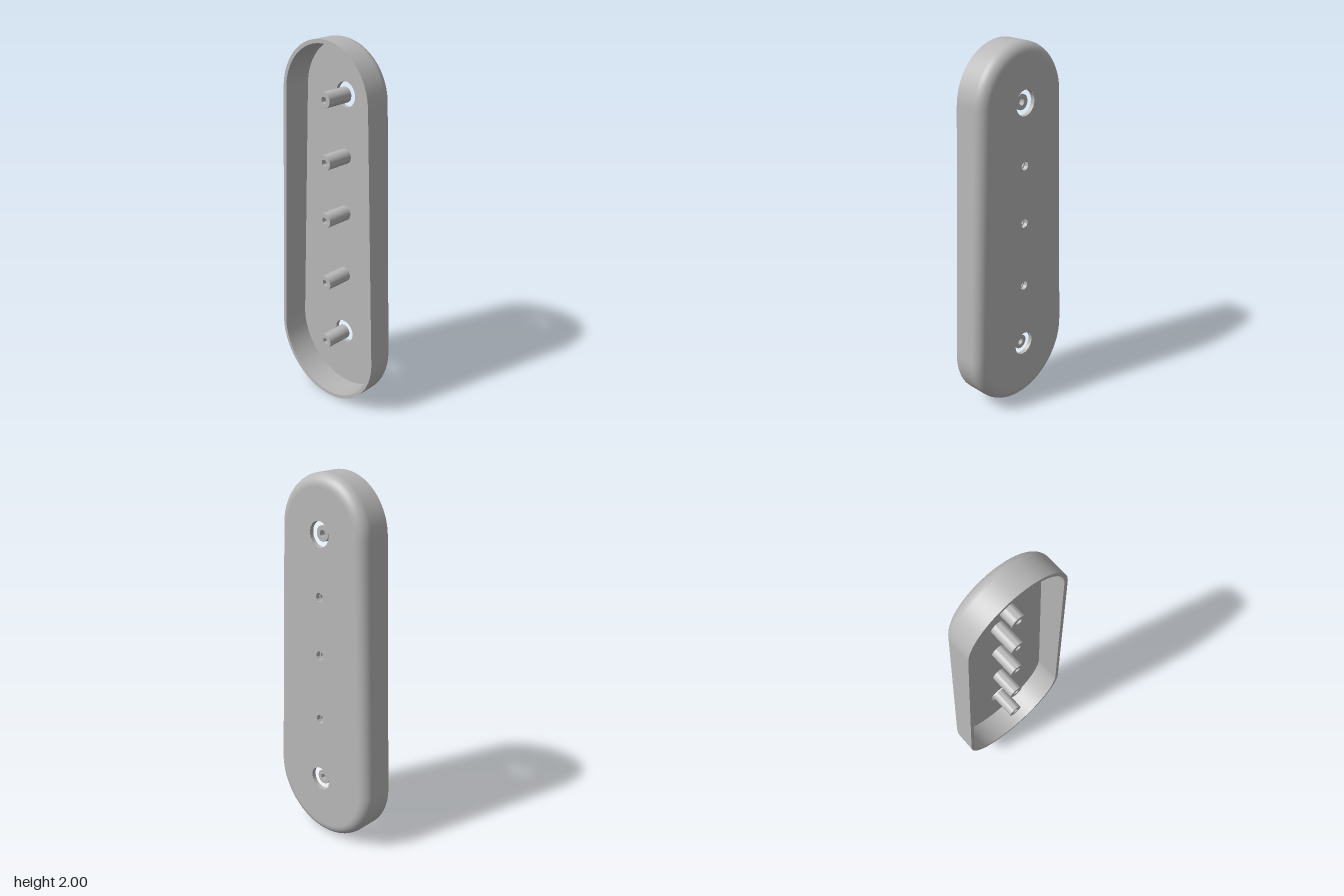
import * as THREE from 'three';
import { toCreasedNormals } from 'three/addons/utils/BufferGeometryUtils.js';

const LOW = { y: 0.345, r: 0.345 }, HIGH = { y: 1.71, r: 0.29 };
const FRONT = 0.086, BACK = -0.086, FLOOR = -0.063;
const WALL = 0.02, FILLET = 0.06;
const POST_R = 0.04, BORE_R = 0.017;

// y position of each post and radius of the hole behind it
const POSTS = [[1.71, 0.065], [1.39, 0.024], [1.075, 0.024], [0.71, 0.024], [0.345, 0.065]];

// Tapered capsule outline, counter-clockwise, moved inwards by inset
function outline(inset) {
  const tilt = Math.asin((LOW.r - HIGH.r) / (HIGH.y - LOW.y));
  const pts = [], n = 48;
  const arc = (c, from, to) => {
    for (let i = 0; i <= n; i++) {
      const a = from + (to - from) * i / n;
      pts.push(new THREE.Vector2(Math.cos(a) * (c.r - inset), c.y + Math.sin(a) * (c.r - inset)));
    }
  };
  arc(HIGH, tilt, Math.PI - tilt);
  arc(LOW, Math.PI - tilt, 2 * Math.PI + tilt);
  return pts;
}

// Surface through closed outlines given as [inset, z]
function strip(profile) {
  const pos = [], index = [];
  let n = 0;
  for (const [inset, z] of profile) {
    const ring = outline(inset);
    n = ring.length;
    for (const p of ring) pos.push(p.x, p.y, z);
  }
  for (let k = 0; k < profile.length - 1; k++) {
    for (let i = 0; i < n; i++) {
      const a = k * n + i, b = k * n + (i + 1) % n;
      index.push(a, a + n, b + n, a, b + n, b);
    }
  }
  const g = new THREE.BufferGeometry();
  g.setAttribute('position', new THREE.Float32BufferAttribute(pos, 3));
  g.setIndex(index);
  g.computeVertexNormals();
  return g;
}

// Flat panel with the holes cut out
function panel(inset) {
  const shape = new THREE.Shape(outline(inset));
  for (const [y, r] of POSTS) {
    shape.holes.push(new THREE.Path().absarc(0, y, r, 0, Math.PI * 2, true));
  }
  return new THREE.ShapeGeometry(shape, 32);
}

// Turned part around the z axis, from [radius, z] points
function turned(points) {
  const g = new THREE.LatheGeometry(points.map(p => new THREE.Vector2(...p)), 32);
  return toCreasedNormals(g.rotateX(Math.PI / 2), 0.6);
}

export function createModel() {
  const model = new THREE.Group();
  const grey = new THREE.MeshStandardMaterial({ color: 0xb8b8b8 });
  grey.name = 'grey';
  const add = (name, geometry, y = 0) => {
    const mesh = new THREE.Mesh(geometry, grey);
    mesh.name = name;
    mesh.position.y = y;
    model.add(mesh);
  };

  // Outer wall, rounded over towards the back
  const profile = [[0, FRONT]];
  for (let i = 0; i <= 12; i++) {
    const a = i / 12 * Math.PI / 2;
    profile.push([FILLET * (1 - Math.cos(a)), BACK + FILLET * (1 - Math.sin(a))]);
  }
  add('outerWall', strip(profile));
  add('rim', strip([[WALL, FRONT], [0, FRONT]]));
  add('innerWall', strip([[WALL, FLOOR], [WALL, FRONT]]));
  add('floor', panel(WALL).translate(0, 0, FLOOR));
  add('backFace', panel(FILLET).rotateY(Math.PI).translate(0, 0, BACK));

  // Hollow posts and the holes behind them
  for (const [y, r] of POSTS) {
    add('holeLining', turned([[r, FLOOR], [r, BACK]]), y);
    add('post', turned([[BORE_R, FLOOR], [POST_R, FLOOR], [POST_R, FRONT], [BORE_R, FRONT], [BORE_R, FLOOR]]), y);
  }
  return model;
}
